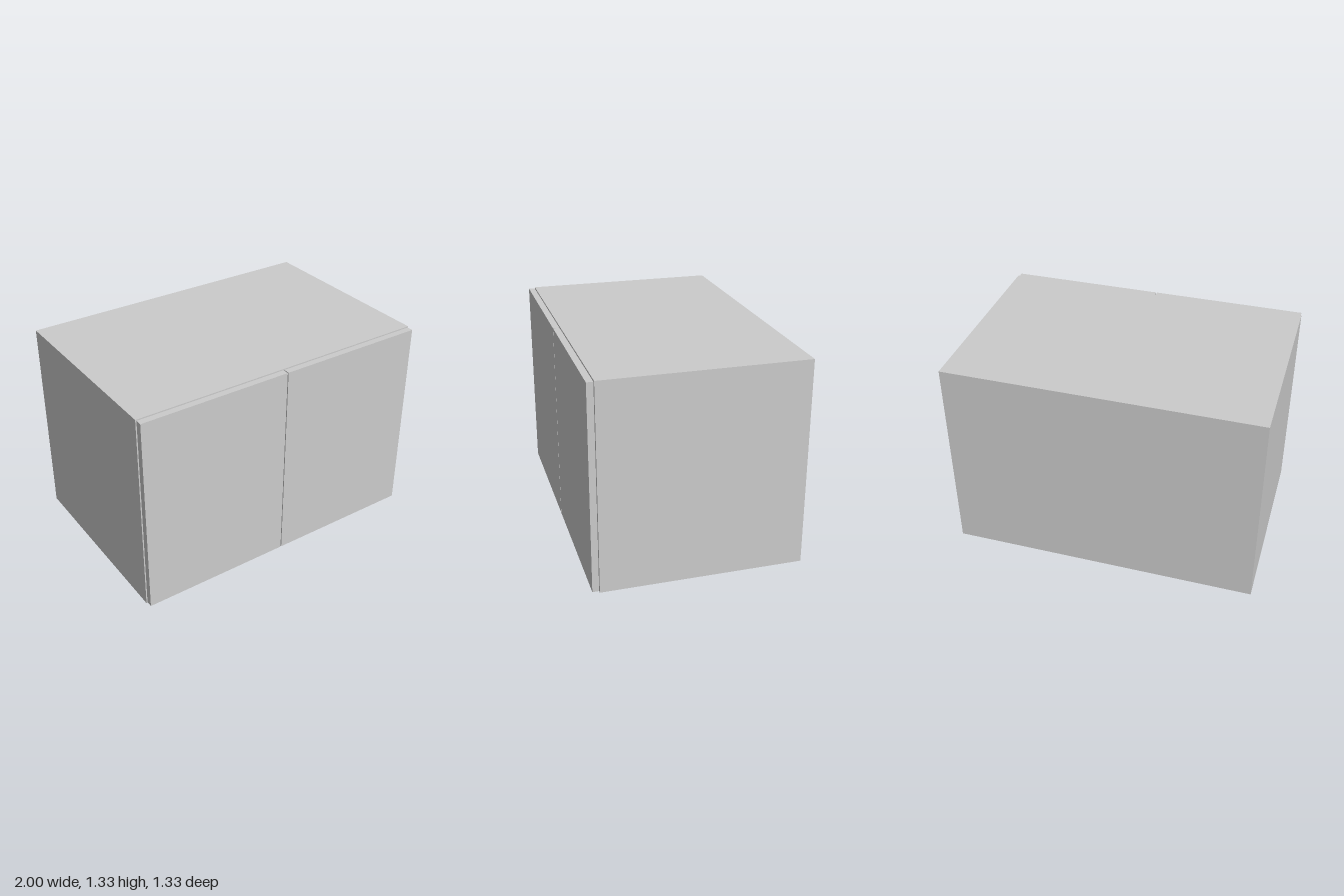
import * as THREE from 'three';

const WIDTH = 2, HEIGHT = 1.333, BOARD = 0.042;
const BACK = -0.663, CARCASS_FRONT = 0.619, FRONT = 0.663;

export function createModel() {
  const cabinet = new THREE.Group();
  cabinet.name = 'cabinet';
  const material = new THREE.MeshStandardMaterial({ color: 0xcccccc });

  // Board given by its minimum and maximum corners
  function board(name, [x0, y0, z0], [x1, y1, z1]) {
    const mesh = new THREE.Mesh(new THREE.BoxGeometry(x1 - x0, y1 - y0, z1 - z0), material);
    mesh.position.set((x0 + x1) / 2, (y0 + y1) / 2, (z0 + z1) / 2);
    mesh.name = name;
    cabinet.add(mesh);
  }

  const half = WIDTH / 2, inner = half - BOARD;
  const backFace = BACK + 0.006;

  // Side panels run the full height
  board('rightSide', [-half, 0, backFace], [-inner, HEIGHT, CARCASS_FRONT]);
  board('leftSide', [inner, 0, backFace], [half, HEIGHT, CARCASS_FRONT]);

  // Bottom, middle shelf and top fit between the sides
  const middle = (HEIGHT - BOARD) / 2;
  board('bottomPanel', [-inner, 0, backFace], [inner, BOARD, CARCASS_FRONT]);
  board('shelf', [-inner, middle, backFace], [inner, middle + BOARD, CARCASS_FRONT]);
  board('topPanel', [-inner, HEIGHT - BOARD, backFace], [inner, HEIGHT, CARCASS_FRONT]);

  // Thin sheet closing the back
  board('backPanel', [-half, 0, BACK], [half, HEIGHT, backFace]);

  // Pair of doors, with a narrow gap between them and to the carcass
  const doorEdge = 0.994, gap = 0.003, doorBack = CARCASS_FRONT + 0.003;
  board('rightDoor', [-doorEdge, 0.008, doorBack], [-gap, HEIGHT - 0.006, FRONT]);
  board('leftDoor', [gap, 0.008, doorBack], [doorEdge, HEIGHT - 0.006, FRONT]);

  return cabinet;
}
